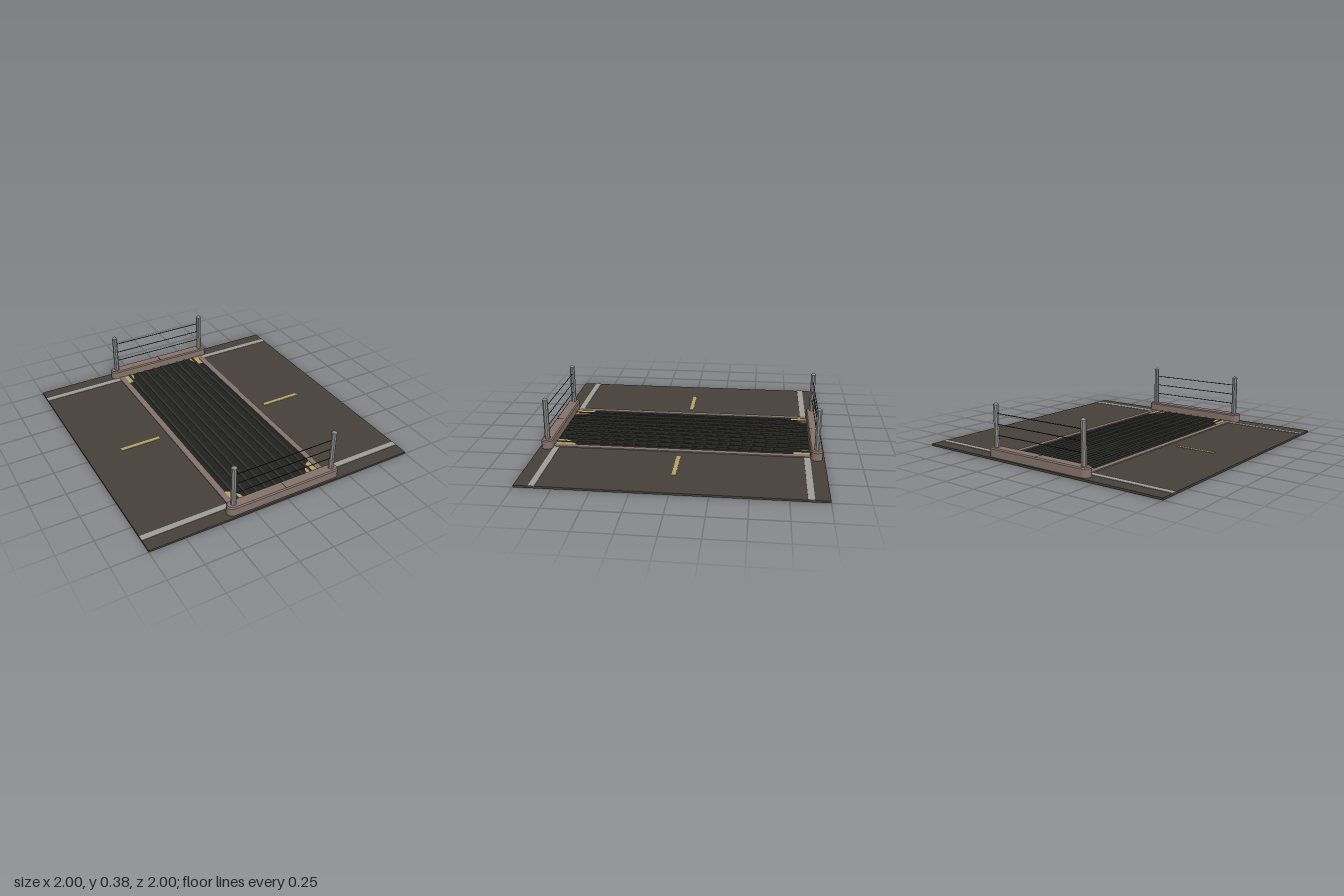
import * as THREE from 'three';

const mat = (name, color, side = THREE.FrontSide) => {
  const m = new THREE.MeshStandardMaterial({ color, side });
  m.name = name;
  return m;
};

export function createModel() {
  const root = new THREE.Group();
  root.name = 'cattleGridRoad';
  const asphalt = mat('asphalt', 0x464039);
  const concrete = mat('concrete', 0x85736b);
  const pitBlack = mat('pitBlack', 0x20201f);
  const barSteel = mat('barSteel', 0x30302d);
  const white = mat('roadWhite', 0xa09e9b);
  const yellow = mat('dryYellow', 0xb3a268);
  const steel = mat('postSteel', 0x8c8c8c);
  const wireDark = mat('wire', 0x282624);

  const add = (parent, name, geo, material, x = 0, y = 0, z = 0) => {
    const mesh = new THREE.Mesh(geo, material);
    mesh.name = name;
    mesh.position.set(x, y, z);
    parent.add(mesh);
    return mesh;
  };
  // Box given by its centre in plan and its bottom and top heights
  const slab = (name, material, w, d, y0, y1, x = 0, z = 0, parent = root) =>
    add(parent, name, new THREE.BoxGeometry(w, y1 - y0, d), material, x, (y0 + y1) / 2, z);

  // Road and painted lines
  slab('road', asphalt, 2, 2, 0, 0.014);
  for (const sx of [-1, 1]) {
    slab('centreDash', yellow, 0.3, 0.028, 0.014, 0.017, sx * 0.6);
    for (const sz of [-1, 1])
      slab('edgeLine', white, 0.62, 0.042, 0.014, 0.017, sx * 0.69, sz * 0.881);
    slab('gridKerb', concrete, 0.042, 1.82, 0.01, 0.021, sx * 0.359);
  }

  // Pit floor and the long rounded bars over it
  slab('pitFloor', pitBlack, 0.676, 1.81, 0.01, 0.0155);
  for (let i = -4; i <= 4; i++) {
    const geo = new THREE.CylinderGeometry(0.01, 0.01, 1.81, 8);
    geo.rotateX(Math.PI / 2);
    geo.scale(1, 0.7, 1);
    add(root, 'gridBar', geo, barSteel, i * 0.0725, 0.0155, 0);
  }

  // Dry grass drifts in the pit corners, drawn in plan
  const drift = (sx, front) => {
    const pts = front
      ? [[0.338, 0.755], [0.3, 0.77], [0.275, 0.8], [0.258, 0.83], [0.245, 0.905], [0.338, 0.905]]
      : [[0.338, 0.79], [0.305, 0.79], [0.28, 0.83], [0.265, 0.87], [0.262, 0.905], [0.338, 0.905]];
    const sz = front ? 1 : -1;
    const shape = new THREE.Shape(pts.map(([x, z]) => new THREE.Vector2(sx * x, -sz * z)));
    const geo = new THREE.ExtrudeGeometry(shape, { depth: 0.002, bevelEnabled: false });
    geo.rotateX(-Math.PI / 2);
    add(root, 'grassDrift', geo, yellow, 0, 0.0155, 0);
  };
  for (const sx of [-1, 1]) for (const front of [true, false]) drift(sx, front);

  // Round-ended plinth with a chamfered top
  const bevel = 0.008, r = 0.041 - bevel, half = 0.389;
  const plan = new THREE.Shape();
  plan.moveTo(-half, -r);
  plan.lineTo(half, -r);
  plan.absarc(half, 0, r, -Math.PI / 2, Math.PI / 2, false);
  plan.lineTo(-half, r);
  plan.absarc(-half, 0, r, Math.PI / 2, Math.PI * 1.5, false);
  const plinthGeo = new THREE.ExtrudeGeometry(plan, {
    depth: 0.062, bevelThickness: bevel, bevelSize: bevel, bevelSegments: 1, curveSegments: 8,
  });
  plinthGeo.rotateX(-Math.PI / 2);

  // Eight-sided post with a pointed cap
  const postGeo = new THREE.CylinderGeometry(0.019, 0.019, 0.3, 8).toNonIndexed();
  const capGeo = new THREE.ConeGeometry(0.021, 0.016, 8).toNonIndexed();
  for (const g of [postGeo, capGeo]) {
    g.rotateY(Math.PI / 8);
    g.computeVertexNormals();
  }

  // One fence at each end of the grid
  for (const sz of [-1, 1]) {
    const fence = new THREE.Group();
    fence.name = sz > 0 ? 'frontFence' : 'backFence';
    fence.position.z = sz * 0.945;
    root.add(fence);
    add(fence, 'plinth', plinthGeo, concrete, 0, 0.008, 0);
    slab('plinthJoint', wireDark, 0.004, 0.07, 0.072, 0.0788, 0, 0, fence);
    for (const sx of [-1, 1]) {
      add(fence, 'post', postGeo, steel, sx * 0.38, 0.22, 0);
      add(fence, 'postCap', capGeo, steel, sx * 0.38, 0.376, 0);
    }
    // Strands with small barbs
    [0.16, 0.235, 0.31].forEach((y, row) => {
      const strand = new THREE.CylinderGeometry(0.003, 0.003, 0.75, 6);
      strand.rotateZ(Math.PI / 2);
      add(fence, 'wire', strand, wireDark, 0, y, 0);
      for (const x of [-0.25, 0, 0.25]) {
        const barb = add(fence, 'barb', new THREE.CylinderGeometry(0.0012, 0.0012, 0.014, 4),
          wireDark, x + (row - 1) * 0.015, y, 0);
        barb.rotation.z = 0.6;
      }
    });
  }
  return root;
}
